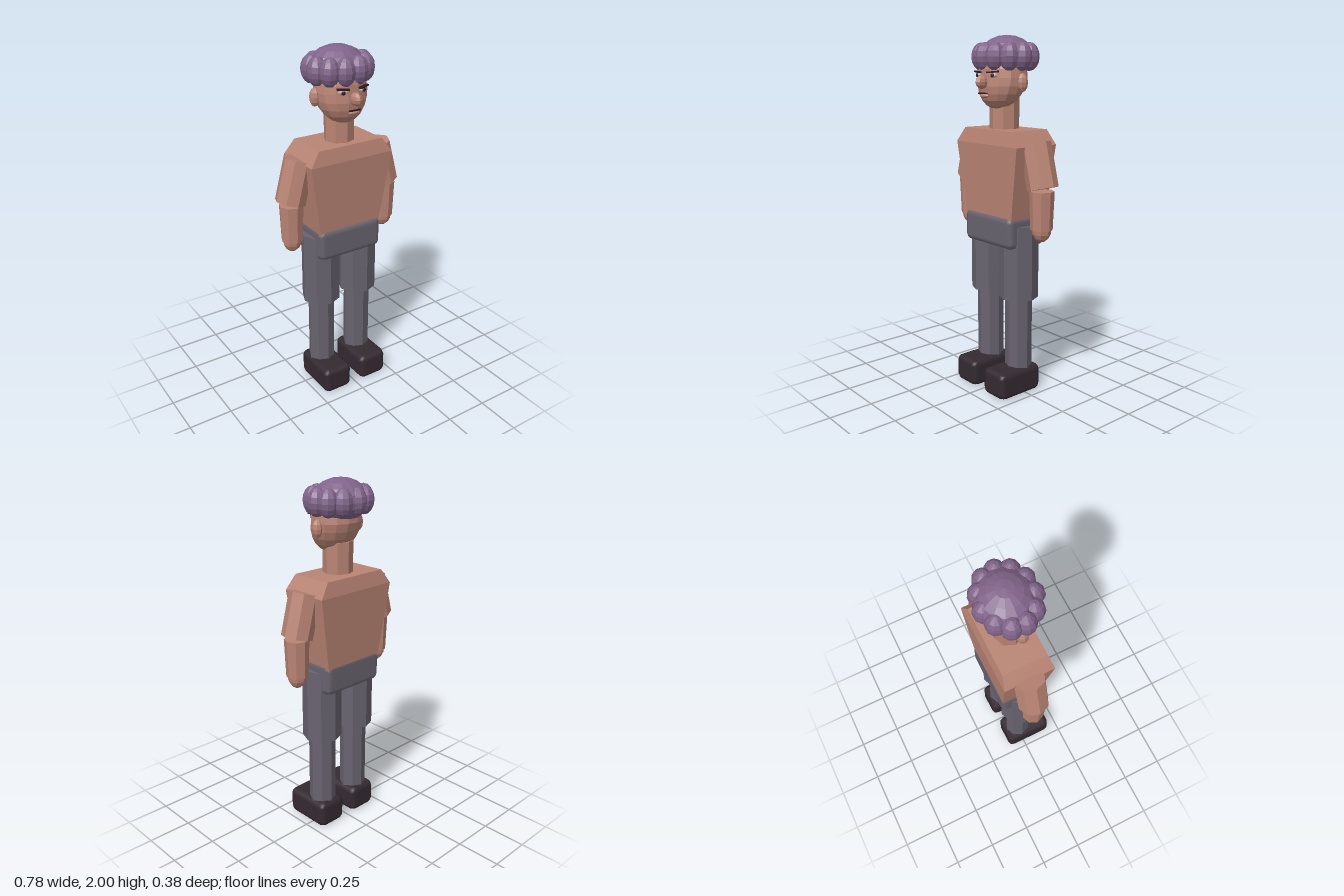
import * as THREE from 'three';
import { RoundedBoxGeometry } from 'three/addons/geometries/RoundedBoxGeometry.js';

const material = (name, color) => {
  const m = new THREE.MeshStandardMaterial({ color });
  m.name = name;
  return m;
};

// Splits shared corners so that every facet is shaded flat
function faceted(geometry) {
  const g = geometry.index ? geometry.toNonIndexed() : geometry;
  g.computeVertexNormals();
  return g;
}

// Moves every vertex of a geometry by a rule
function reshape(geometry, rule) {
  const p = geometry.attributes.position;
  const v = new THREE.Vector3();
  for (let i = 0; i < p.count; i++) {
    rule(v.fromBufferAttribute(p, i));
    p.setXYZ(i, v.x, v.y, v.z);
  }
  return geometry;
}

export function createModel() {
  const root = new THREE.Group();
  root.name = 'standingMan';
  const skin = material('skin', 0xb98474);
  const hair = material('hair', 0x81648a);
  const trouser = material('trousers', 0x68636f);
  const shoe = material('shoeLeather', 0x342a31);
  const eyeWhite = material('eyeWhite', 0xb5a8a4);
  const dark = material('darkDetail', 0x301a20);

  const add = (name, geometry, mat, x, y, z, parent = root) => {
    const mesh = new THREE.Mesh(geometry, mat);
    mesh.name = name;
    mesh.position.set(x, y, z);
    parent.add(mesh);
    return mesh;
  };
  // Eight-sided limb with corners on the x and z axes
  const limb = (top, bottom, height) => faceted(new THREE.CylinderGeometry(top, bottom, height, 8));
  const ball = (rx, ry, rz, w = 10, h = 8) =>
    faceted(new THREE.SphereGeometry(1, w, h).scale(rx, ry, rz));
  const chamfered = (w, h, d, r) => new RoundedBoxGeometry(w, h, d, 1, r);

  // Torso: a box with waist, shoulder and collar sections
  const torsoSections = [[0.19, 1.0, 0.122], [0.256, 1.42, 0.142], [0.2, 1.5, 0.125]];
  const torso = reshape(new THREE.BoxGeometry(2, 2, 2, 1, 2, 1), (v) => {
    const [hx, y, hz] = torsoSections[Math.round(v.y) + 1];
    v.set(v.x * hx, y, v.z * hz);
  });
  add('torso', faceted(torso), skin, 0, 0, -0.015);
  add('neck', limb(0.082, 0.082, 0.2), skin, 0, 1.57, -0.008);
  add('hips', chamfered(0.4, 0.18, 0.266, 0.034), trouser, 0, 0.945, -0.01);

  // Limbs, mirrored left and right
  for (const [side, s] of [['left', 1], ['right', -1]]) {
    add(side + 'Thigh', limb(0.11, 0.11, 0.42), trouser, s * 0.125, 0.77, -0.008);
    add(side + 'Shin', limb(0.076, 0.076, 0.44), trouser, s * 0.125, 0.36, -0.008);
    add(side + 'Shoe', chamfered(0.178, 0.155, 0.29, 0.032), shoe, s * 0.125, 0.0775, 0.042);

    const upperArm = add(side + 'UpperArm', limb(0.085, 0.085, 0.242), skin, s * 0.276, 1.315, -0.015);
    upperArm.rotation.z = s * 0.262;
    add(side + 'Forearm', limb(0.068, 0.06, 0.21), skin, s * 0.305, 1.083, -0.01);
    add(side + 'Hand', ball(0.054, 0.072, 0.054, 8, 8), skin, s * 0.305, 0.982, -0.01);
  }

  // Head: the skull narrows and moves forward towards the chin
  const head = new THREE.Group();
  head.name = 'head';
  root.add(head);
  const skull = reshape(new THREE.SphereGeometry(1, 14, 12), (v) => {
    const jaw = Math.max(0, -v.y);
    v.set(v.x * 0.147, v.y * 0.172, v.z * 0.127 + jaw * 0.032);
  });
  add('skull', faceted(skull), skin, 0, 1.775, 0.003, head);
  add('nose', ball(0.026, 0.036, 0.042, 8, 6), skin, 0, 1.752, 0.148, head);
  add('lowerLip', ball(0.034, 0.012, 0.016, 8, 6), skin, 0, 1.68, 0.133, head);
  add('mouthLine', new THREE.BoxGeometry(0.07, 0.007, 0.009), dark, 0, 1.693, 0.142, head);

  for (const [side, s] of [['left', 1], ['right', -1]]) {
    add(side + 'Ear', ball(0.028, 0.05, 0.03, 8, 6), skin, s * 0.149, 1.75, -0.008, head);
    // Eye turned to follow the curve of the face
    const eye = new THREE.Group();
    eye.name = side + 'Eye';
    eye.position.set(s * 0.06, 1.788, 0.12);
    eye.rotation.y = s * 0.35;
    head.add(eye);
    add(side + 'Eyeball', ball(0.026, 0.013, 0.012, 8, 6), eyeWhite, 0, 0, 0, eye);
    add(side + 'Iris', ball(0.011, 0.011, 0.006, 8, 6), dark, 0, 0, 0.011, eye);
    const brow = add(side + 'Brow', new THREE.BoxGeometry(0.066, 0.008, 0.02), dark, 0, 0.017, 0.007, eye);
    brow.rotation.z = s * 0.08;
  }

  // Hair: a low crown within a ring of curls
  const hairStyle = new THREE.Group();
  hairStyle.name = 'hairStyle';
  hairStyle.position.set(0, 1.885, -0.016);
  root.add(hairStyle);
  add('crown', ball(0.158, 0.115, 0.148, 14, 10), hair, 0, 0, -0.01, hairStyle);
  const curl = ball(0.054, 0.076, 0.056, 10, 8);
  const curls = 11;
  for (let i = 0; i < curls; i++) {
    const a = Math.PI + 0.06 + (i / curls) * Math.PI * 2;
    const mesh = add('curl', curl, hair, Math.sin(a) * 0.146, 0, Math.cos(a) * 0.12, hairStyle);
    mesh.rotation.y = a;
  }
  return root;
}
